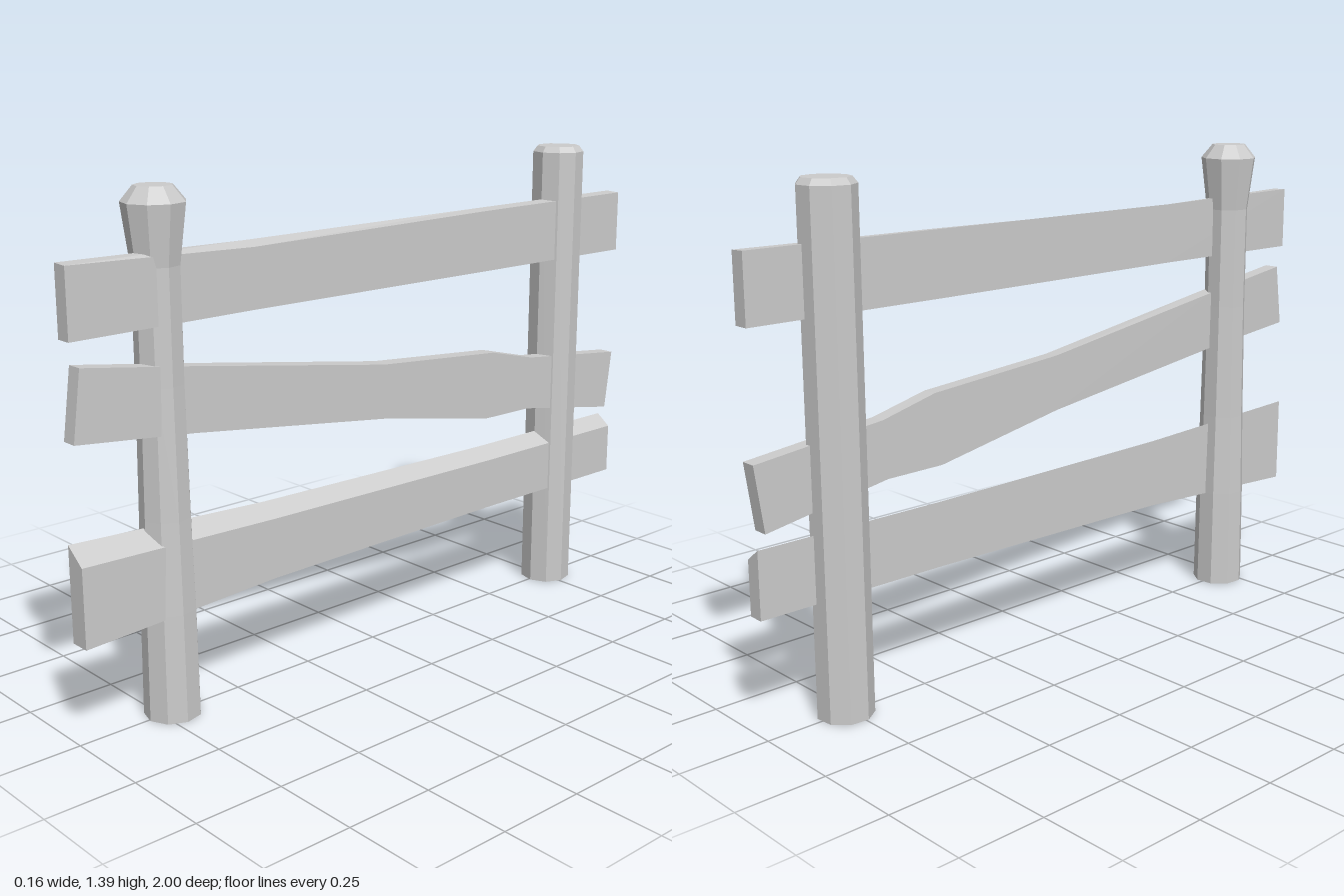
import * as THREE from 'three';

const material = new THREE.MeshStandardMaterial({ color: 0xcccccc, flatShading: true });

// Nine-sided post turned from [radius, height] pairs
function makePost(name, z, profile) {
  const points = profile.map(([r, y]) => new THREE.Vector2(r, y));
  const geometry = new THREE.LatheGeometry(points, 9, THREE.MathUtils.degToRad(5));
  const post = new THREE.Mesh(geometry, material);
  post.name = name;
  post.position.z = z;
  return post;
}

// Plank lofted through four-cornered sections, ordered from the front end to the back end:
// [z bottom, z top, y bottom, y top at inner side, y top at outer side, x inner, x outer]
function makeRail(name, sections) {
  const rings = sections.map(([zb, zt, yb, yi, yo, xi, xo]) => [
    [xi, yb, zb], [xo, yb, zb], [xo, yo, zt], [xi, yi, zt],
  ]);
  const positions = [];
  const quad = (a, b, c, d) => positions.push(...a, ...b, ...c, ...a, ...c, ...d);
  for (let i = 0; i < rings.length - 1; i++) {
    const front = rings[i], back = rings[i + 1];
    for (let j = 0; j < 4; j++) {
      const k = (j + 1) % 4;
      quad(front[j], back[j], back[k], front[k]);
    }
  }
  // End caps
  const first = rings[0], last = rings[rings.length - 1];
  quad(first[0], first[1], first[2], first[3]);
  quad(last[3], last[2], last[1], last[0]);

  const geometry = new THREE.BufferGeometry();
  geometry.setAttribute('position', new THREE.Float32BufferAttribute(positions, 3));
  geometry.computeVertexNormals();
  const rail = new THREE.Mesh(geometry, material);
  rail.name = name;
  return rail;
}

export function createModel() {
  const fence = new THREE.Group();
  fence.name = 'fence';

  // Front post: waisted, with a flared head
  fence.add(makePost('frontPost', 0.715, [
    [0, 0], [0.077, 0], [0.074, 0.3], [0.068, 0.55], [0.063, 0.9],
    [0.063, 1.2], [0.083, 1.355], [0.05, 1.395], [0, 1.395],
  ]));

  // Back post: straight, with a small chamfer
  fence.add(makePost('backPost', -0.763, [
    [0, 0], [0.077, 0], [0.077, 1.378], [0.064, 1.395], [0, 1.395],
  ]));

  // Top rail: nearly straight, outer edge slightly worn
  fence.add(makeRail('topRail', [
    [1, 1, 1.055, 1.238, 1.236, 0.005, 0.05],
    [0.45, 0.45, 1.058, 1.232, 1.22, 0.005, 0.05],
    [-0.4, -0.4, 1.055, 1.236, 1.232, 0.005, 0.047],
    [-1, -1, 1.055, 1.238, 1.236, 0.005, 0.05],
  ]));

  // Middle rail: sagging towards the back, with a kink
  fence.add(makeRail('middleRail', [
    [1, 0.975, 0.805, 0.99, 0.99, 0.005, 0.05],
    [0.65, 0.65, 0.768, 0.942, 0.942, 0.005, 0.05],
    [0, 0, 0.683, 0.842, 0.84, 0.005, 0.05],
    [-0.42, -0.44, 0.605, 0.806, 0.805, 0.005, 0.05],
    [-0.6, -0.61, 0.603, 0.763, 0.763, 0.005, 0.05],
    [-0.975, -1, 0.54, 0.72, 0.72, 0.005, 0.05],
  ]));

  // Bottom rail: thicker at the front, with a sloping top
  fence.add(makeRail('bottomRail', [
    [1, 1, 0.28, 0.54, 0.495, -0.004, 0.055],
    [0.4, 0.4, 0.31, 0.516, 0.48, 0.002, 0.052],
    [-0.43, -0.43, 0.32, 0.504, 0.47, 0.005, 0.05],
    [-1, -1, 0.32, 0.504, 0.47, 0.005, 0.05],
  ]));

  return fence;
}
